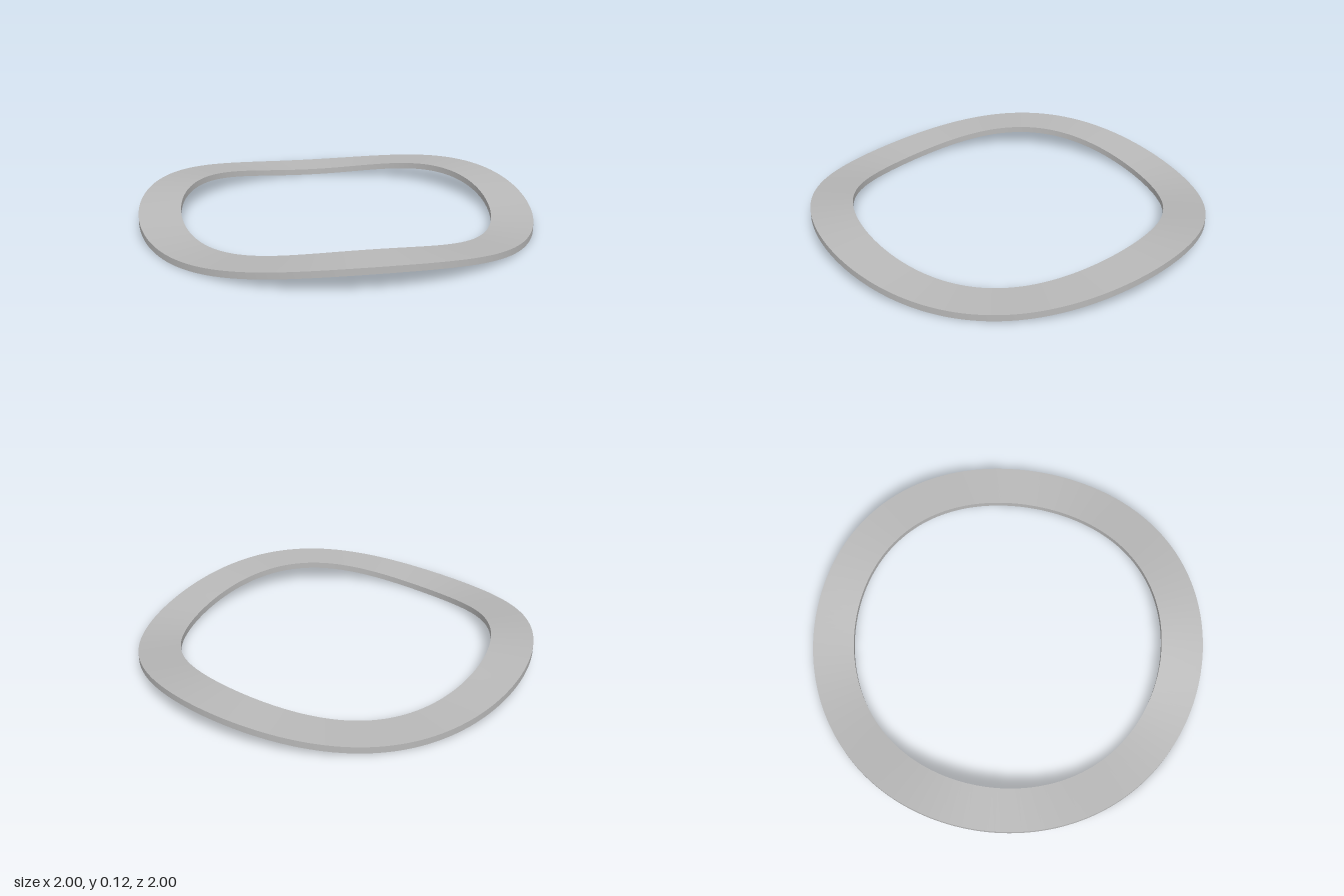
import * as THREE from 'three';
import { toCreasedNormals } from 'three/addons/utils/BufferGeometryUtils.js';

const OUTER = 1, INNER = 0.79, THICKNESS = 0.032;
const WAVES = 3, AMPLITUDE = 0.0415;

export function createModel() {
  const steel = new THREE.MeshStandardMaterial({ color: 0xb8b8b8 });
  steel.name = 'steel grey';

  // Flat ring with a rectangular section
  const profile = [
    [INNER, 0], [OUTER, 0], [OUTER, THICKNESS], [INNER, THICKNESS], [INNER, 0],
  ].map(([r, y]) => new THREE.Vector2(r, y));
  const ring = new THREE.LatheGeometry(profile, 192);

  // Lift it into three even waves, with one crest at +x
  const pos = ring.attributes.position;
  for (let i = 0; i < pos.count; i++) {
    const angle = Math.atan2(pos.getZ(i), pos.getX(i));
    pos.setY(i, pos.getY(i) + AMPLITUDE * (1 + Math.cos(WAVES * angle)));
  }

  const washer = new THREE.Mesh(toCreasedNormals(ring, Math.PI / 5), steel);
  washer.name = 'waveWasher';

  const model = new THREE.Group();
  model.name = 'waveSpringWasher';
  model.add(washer);
  return model;
}
